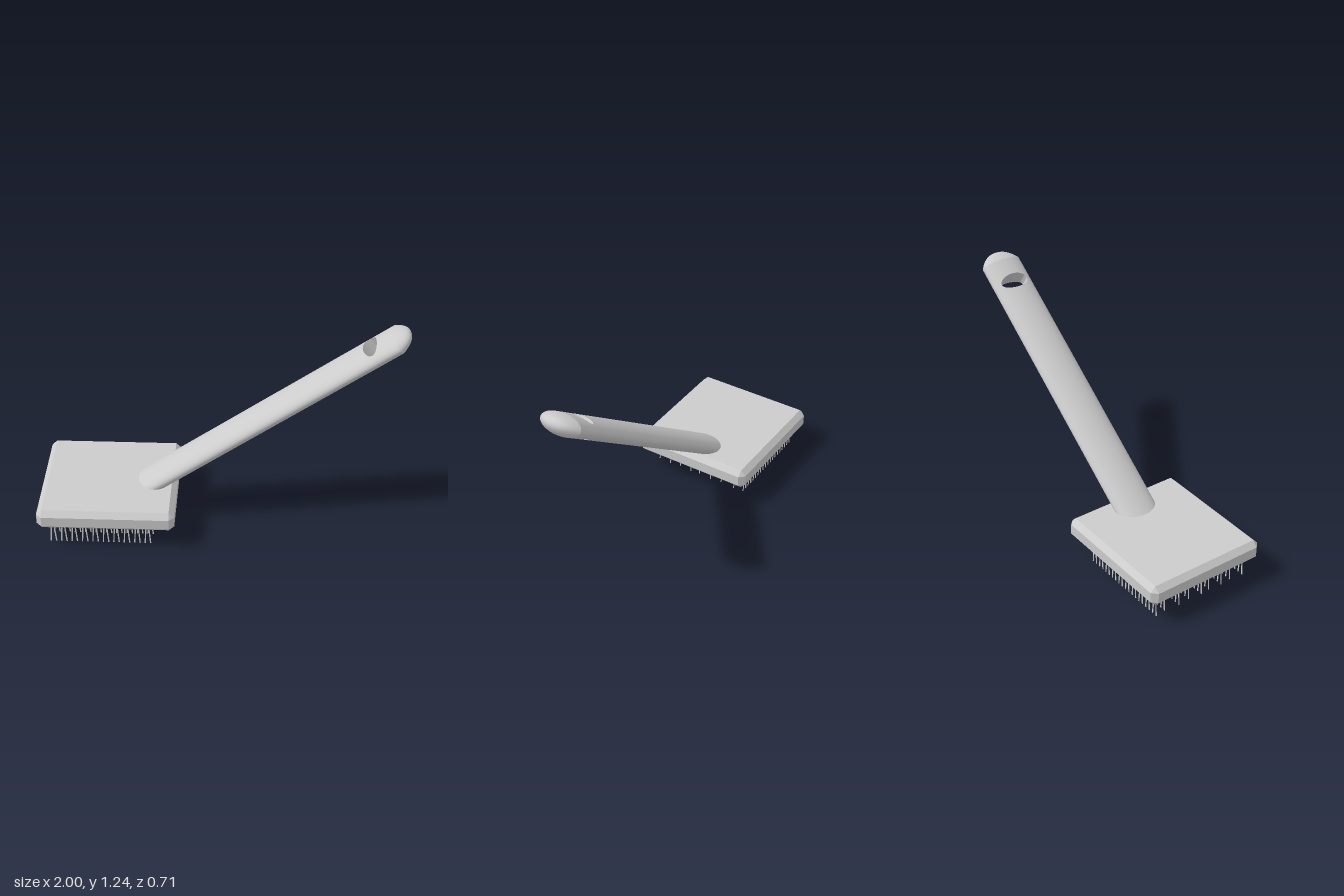
import * as THREE from 'three';
import { mergeGeometries } from 'three/addons/utils/BufferGeometryUtils.js';
import { ConvexGeometry } from 'three/addons/geometries/ConvexGeometry.js';

const HALF_W = 0.12, HALF_T = 0.056;           // elliptical handle section
const HOLE_S = 1.46, HOLE_R = 0.043;           // hanging hole along the handle
const HOLE_W = HALF_W * Math.SQRT1_2;          // hole half width (45 degrees on the section)
const SEG = 96;

// Skin a list of equally long point rows; closed rows wrap around
function skin(rows, closed) {
  const n = rows[0].length, index = [];
  for (let i = 0; i < rows.length - 1; i++) {
    for (let j = 0; j < (closed ? n : n - 1); j++) {
      const k = (j + 1) % n, a = i * n, b = a + n;
      index.push(a + j, b + j, a + k, a + k, b + j, b + k);
    }
  }
  const g = new THREE.BufferGeometry().setFromPoints(rows.flat());
  g.setIndex(index);
  g.computeVertexNormals();
  return g;
}

// Point on the handle section, at distance s along it, scaled by r
const onSection = (s, t, r = 1) =>
  new THREE.Vector3(s, HALF_T * Math.sin(t) * r, HALF_W * Math.cos(t) * r);

// Ring around the handle; s may depend on the angle
const ring = (s, r = 1) => Array.from({ length: SEG }, (_, j) => {
  const t = (j / SEG) * Math.PI * 2;
  return onSection(typeof s === 'function' ? s(t) : s, t, r);
});

// Half length of the hole at a given section angle
const holeHalf = (t) =>
  HOLE_R * Math.sqrt(Math.max(0, 1 - (HALF_W * Math.cos(t) / HOLE_W) ** 2));

// Block with every edge and corner bevelled
function bevelledBlock(w, h, d, c) {
  const pts = [];
  for (const x of [-1, 1]) for (const y of [-1, 1]) for (const z of [-1, 1]) {
    for (let full = 0; full < 3; full++) {
      const inset = [0, 1, 2].map((k) => (k === full ? 0 : c));
      pts.push(new THREE.Vector3(x * (w / 2 - inset[0]), y * (h / 2 - inset[1]), z * (d / 2 - inset[2])));
    }
  }
  return new ConvexGeometry(pts);
}

export function createModel() {
  const model = new THREE.Group();
  model.name = 'slickerBrush';
  const material = new THREE.MeshStandardMaterial({ color: 0xcccccc });
  const thin = new THREE.MeshStandardMaterial({ color: 0xcccccc, side: THREE.DoubleSide });
  const add = (parent, name, geometry, mat = material) => {
    const mesh = new THREE.Mesh(geometry, mat);
    mesh.name = name;
    parent.add(mesh);
    return mesh;
  };

  // Square head
  add(model, 'head', bevelledBlock(0.76, 0.12, 0.71, 0.03)).position.set(-0.62, 0.18, 0);

  // Slanted handle: two tubes that meet at the hole
  const handle = new THREE.Group();
  handle.name = 'handle';
  handle.position.set(-0.365, 0.24, 0);
  handle.rotation.z = THREE.MathUtils.degToRad(36);
  model.add(handle);
  const capS = 1.605;
  add(handle, 'handleShaft', skin([ring(-0.09), ring((t) => HOLE_S - holeHalf(t))], true), thin);
  add(handle, 'handleEnd', skin([ring((t) => HOLE_S + holeHalf(t)), ring(capS)], true), thin);

  // Walls of the hanging hole
  for (const side of [-1, 1]) {
    const edge = (flip) => Array.from({ length: SEG / 4 + 1 }, (_, j) => {
      const t = Math.PI / 4 + (j / SEG) * Math.PI * 2;
      return onSection(HOLE_S + side * holeHalf(t), flip * t);
    });
    add(handle, 'holeWall', skin([edge(1), edge(-1)], false), thin);
  }

  // Domed tip
  const dome = [];
  for (let i = 0; i <= 12; i++) {
    const r = Math.cos((i / 12) * Math.PI / 2);
    dome.push(ring(capS + 0.072 * (1 - r ** 2.5), Math.max(r, 0.001)));
  }
  add(handle, 'handleTip', skin(dome, true));

  // Wire bristles: rows of splayed flat pairs
  const rowsZ = [0.295, 0.215, 0.15, 0.07, 0.015, -0.065, -0.135, -0.225, -0.285];
  const wires = [];
  rowsZ.forEach((z, row) => {
    for (let i = 0; i < 10; i++) {
      const x = -0.915 + i * 0.0585 + (row % 2 ? 0.004 : -0.004);
      for (const side of [-1, 1]) {
        const wire = new THREE.BoxGeometry(0.007, 0.125, 0.003);
        wire.rotateZ(side * 0.07);
        wire.translate(x + side * 0.011, 0.063, z);
        wires.push(wire);
      }
    }
  });
  add(model, 'bristles', mergeGeometries(wires));

  return model;
}
